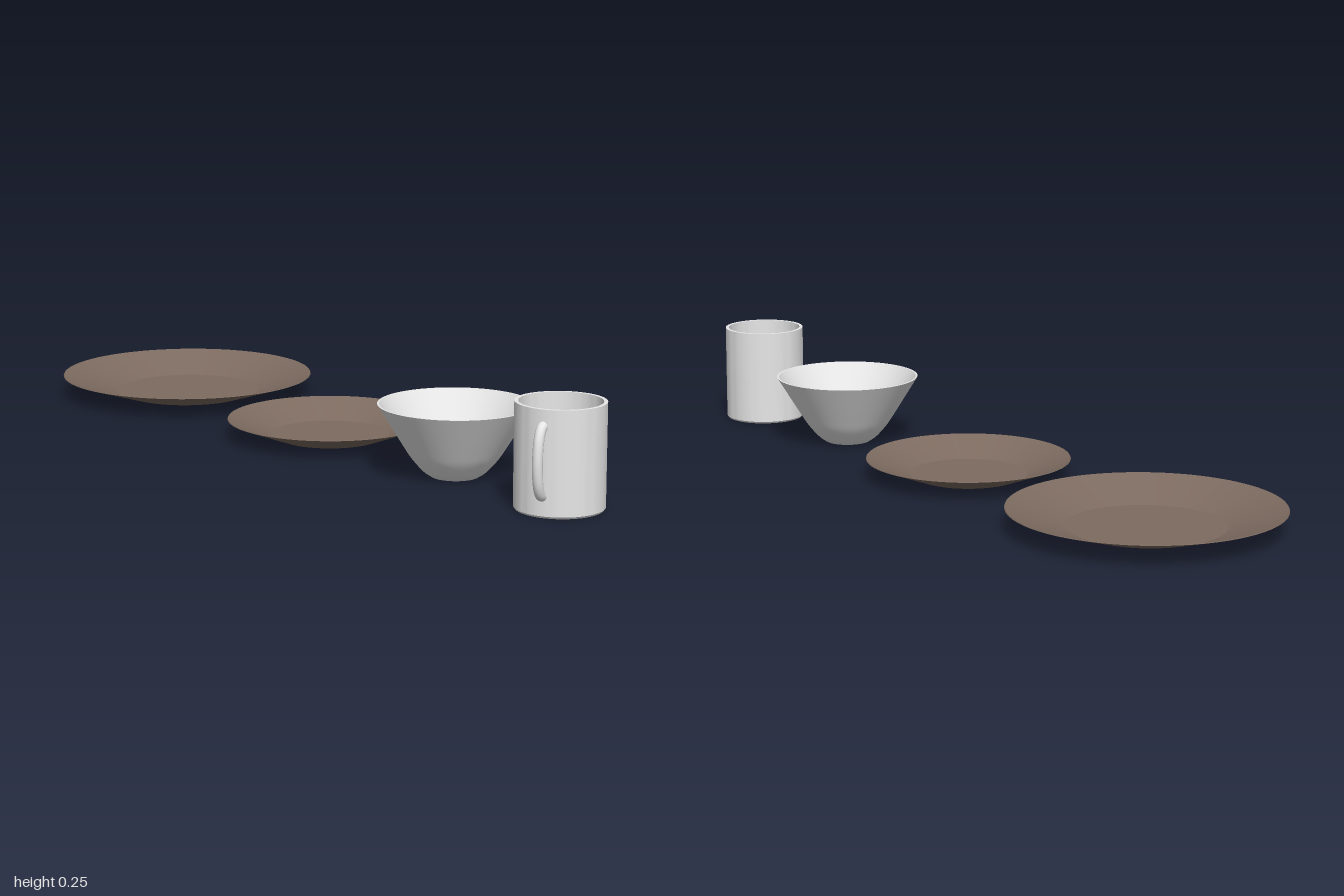
import * as THREE from 'three';
import { toCreasedNormals } from 'three/addons/utils/BufferGeometryUtils.js';

const brown = new THREE.MeshStandardMaterial({ color: 0x7d6b60 });
brown.name = 'brown stoneware';
const white = new THREE.MeshStandardMaterial({ color: 0xe7e7e7 });
white.name = 'white ceramic';

// Closed profile: under the foot, up the outside, over the rim, down the inside
function turned(name, points, material, x) {
  const profile = points.map(([r, y]) => new THREE.Vector2(r, y));
  const geometry = toCreasedNormals(new THREE.LatheGeometry(profile, 72), 0.24);
  const mesh = new THREE.Mesh(geometry, material);
  mesh.name = name;
  mesh.position.x = x;
  return mesh;
}

// Plate with a flat floor and a straight flared rim
function plate(name, x, radius, foot, well, floor, height) {
  return turned(name, [
    [0, 0], [foot, 0], [radius, height - 0.002],
    [radius - 0.001, height], [well, floor], [0, floor],
  ], brown, x);
}

export function createModel() {
  const group = new THREE.Group();
  group.name = 'tableware';

  group.add(plate('dinnerPlate', -0.664, 0.336, 0.168, 0.192, 0.009, 0.055));
  group.add(plate('sidePlate', 0, 0.26, 0.132, 0.15, 0.008, 0.05));

  // Bowl: rounded lower wall, almost straight flare above
  const wall = new THREE.SplineCurve([
    [0.058, 0], [0.078, 0.014], [0.106, 0.046], [0.128, 0.08], [0.157, 0.127], [0.187, 0.176],
  ].map(([r, y]) => new THREE.Vector2(r, y))).getPoints(20);
  const outside = wall.map((p) => [p.x, p.y]);
  const inside = wall.map((p) => [p.x - 0.005, Math.max(p.y, 0.006 + p.y * 0.966)]).reverse();
  group.add(turned('bowl', [[0, 0], ...outside, ...inside, [0, 0.006]], white, 0.51));

  // Mug body with a small bevel at the foot
  const mug = new THREE.Group();
  mug.name = 'mug';
  mug.position.x = 0.893;
  mug.add(turned('mugBody', [
    [0, 0], [0.102, 0], [0.106, 0.005], [0.106, 0.251],
    [0.097, 0.251], [0.097, 0.012], [0, 0.012],
  ], white, 0));

  // Curved handle, turned a little to the side of the front
  const path = new THREE.CatmullRomCurve3([
    [0.1, 0.213], [0.113, 0.208], [0.126, 0.185], [0.133, 0.132],
    [0.126, 0.078], [0.113, 0.055], [0.1, 0.05],
  ].map(([z, y]) => new THREE.Vector3(0, y, z)));
  const handle = new THREE.Mesh(new THREE.TubeGeometry(path, 40, 0.012, 14), white);
  handle.name = 'mugHandle';
  handle.rotation.y = 0.47;
  mug.add(handle);
  group.add(mug);

  return group;
}
